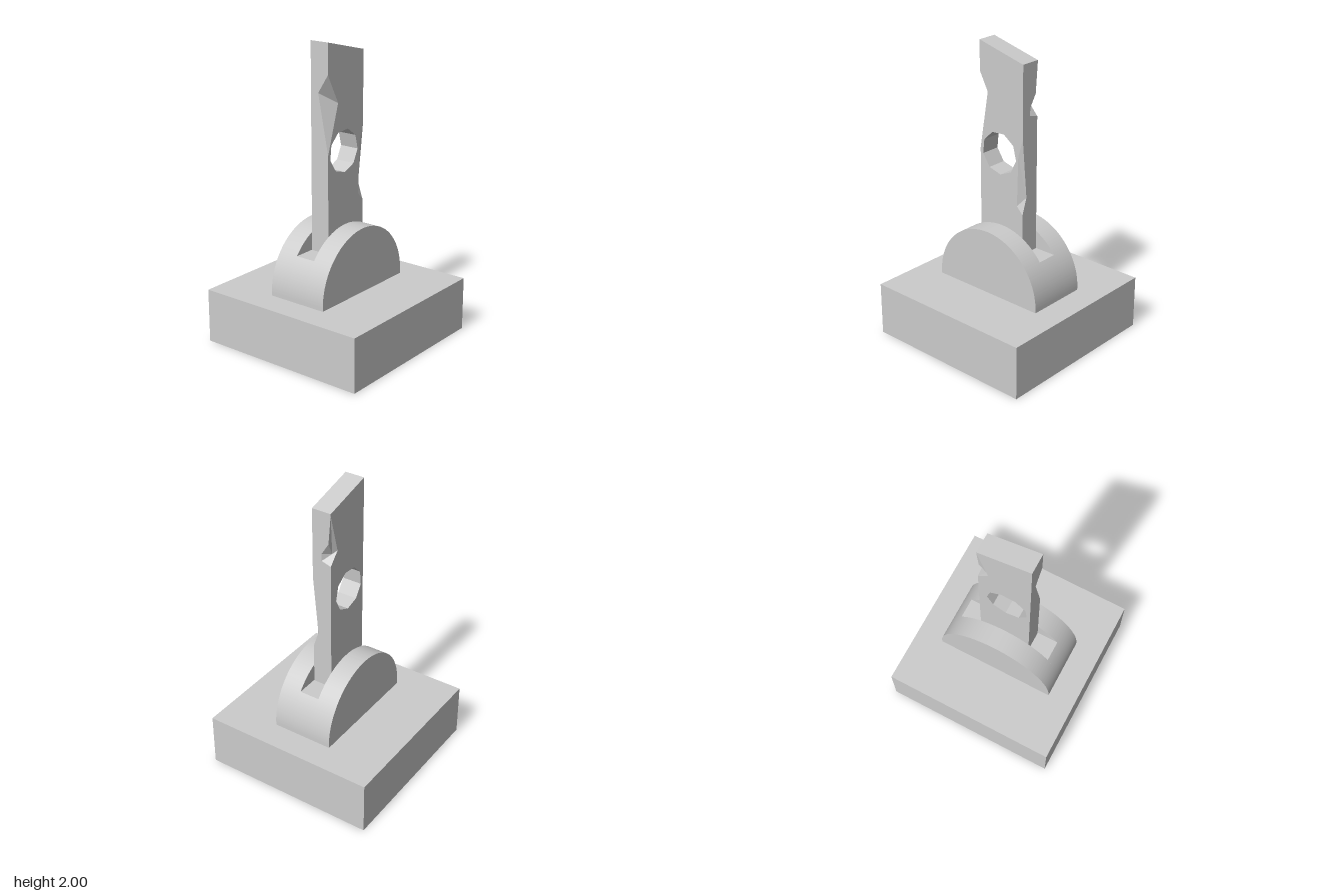
import * as THREE from 'three';
import { mergeGeometries, toCreasedNormals } from 'three/addons/utils/BufferGeometryUtils.js';

const grey = new THREE.MeshStandardMaterial({ color: 0xcccccc, side: THREE.DoubleSide });

function part(name, geometry) {
  const mesh = new THREE.Mesh(geometry, grey);
  mesh.name = name;
  return mesh;
}

// Collects polygons, turning every triangle towards the given outward direction.
function polygonBuilder() {
  const positions = [];
  const add = (out, points, hole = []) => {
    // Project along the strongest axis of the outward direction.
    const size = out.map(Math.abs);
    const axis = size.indexOf(Math.max(...size));
    const [u, v] = [0, 1, 2].filter((i) => i !== axis);
    const flat = (p) => new THREE.Vector2(p[u], p[v]);
    const all = [...points, ...hole].map((p) => new THREE.Vector3(...p));
    const dir = new THREE.Vector3(...out);
    const holes = hole.length ? [hole.map(flat)] : [];
    for (const [i, j, k] of THREE.ShapeUtils.triangulateShape(points.map(flat), holes)) {
      const a = all[i], b = all[j], c = all[k];
      const normal = b.clone().sub(a).cross(c.clone().sub(a));
      const tri = normal.dot(dir) < 0 ? [a, c, b] : [a, b, c];
      tri.forEach((p) => positions.push(p.x, p.y, p.z));
    }
  };
  const build = () => {
    const geometry = new THREE.BufferGeometry();
    geometry.setAttribute('position', new THREE.Float32BufferAttribute(positions, 3));
    geometry.computeVertexNormals();
    return geometry;
  };
  return { add, build };
}

// Hollow plinth: four walls and a top, open underneath.
function createPlinth() {
  const w = 0.6, h = 0.363;
  const top = new THREE.PlaneGeometry(2 * w, 2 * w).rotateX(-Math.PI / 2).translate(0, h, 0);
  const walls = [0, 1, 2, 3].map((i) =>
    new THREE.PlaneGeometry(2 * w, h).translate(0, h / 2, w).rotateY((i * Math.PI) / 2));
  return part('plinth', mergeGeometries([top, ...walls]));
}

// Half-round mount: two full cheeks and a flat-topped core that leaves the slot.
function createMount() {
  const r = 0.415, cy = 0.385, foot = 0.355, slotFloor = 0.64, slotZ = 0.07, outerZ = 0.21;
  const profile = (cut) => {
    const shape = new THREE.Shape();
    shape.moveTo(-r, foot);
    shape.lineTo(r, foot);
    shape.lineTo(r, cy);
    shape.absarc(0, cy, r, 0, cut, false);
    shape.absarc(0, cy, r, Math.PI - cut, Math.PI, false);
    shape.closePath();
    return shape;
  };
  const slab = (cut, z0, z1) => toCreasedNormals(new THREE.ExtrudeGeometry(profile(cut),
    { depth: z1 - z0, bevelEnabled: false, curveSegments: 40 }).translate(0, 0, z0), 0.5);

  const group = new THREE.Group();
  group.name = 'mount';
  group.add(
    part('frontCheek', slab(Math.PI / 2, slotZ, outerZ)),
    part('backCheek', slab(Math.PI / 2, -outerZ, -slotZ)),
    part('slotCore', slab(Math.asin((slotFloor - cy) / r), -slotZ, slotZ)),
  );
  return group;
}

// Upright blade with a slanted top, a nine-sided hole and three chipped corners.
function createBlade() {
  const L = -0.18, R = 0.177, F = 0.067, B = -0.067, y0 = 0.64, yL = 2, yR = 1.91;
  const { add, build } = polygonBuilder();

  const ring = (z) => Array.from({ length: 9 }, (_, i) => {
    const a = ((40 * i - 6) * Math.PI) / 180;
    return [-0.02 + 0.142 * Math.cos(a), 1.29 + 0.142 * Math.sin(a), z];
  });
  const holeF = ring(F), holeB = ring(B);

  // Front left chip: edge ends, point on the front, point on the side
  const a1 = [L, 1.8, F], a2 = [-0.08, 1.61, F], a3 = [L, 1.29, F], a4 = [L, 1.68, -0.01];
  // Front right chip, long and shallow
  const b1 = [R, 1.43, F], b2 = [0.14, 1.31, F], b3 = [0.13, 0.97, F], b4 = [R, 0.92, F];
  const b5 = [R, 1.03, 0.03], b6 = [R, 1.31, 0.035];
  // Back right chip, with an inner corner
  const c1 = [R, 1.9, B], c2 = [0.105, 1.63, B], c3 = [R, 1.55, B];
  const c4 = [R, 1.57, 0], c5 = [R, 1.62, 0], c6 = [R, 1.7, -0.05], c7 = [0.13, 1.61, -0.045];

  // Flat faces
  add([0, 0, 1], [[L, y0, F], [R, y0, F], b4, b3, b2, b1, [R, yR, F], [L, yL, F], a1, a2, a3], holeF);
  add([0, 0, -1], [[L, y0, B], [R, y0, B], c3, c2, c1, [R, yR, B], [L, yL, B]], holeB);
  add([-1, 0, 0], [[L, y0, F], a3, a4, a1, [L, yL, F], [L, yL, B], [L, y0, B]]);
  add([1, 0, 0], [[R, y0, F], b4, b5, b6, b1, [R, yR, F], [R, yR, B], c1, c6, c5, c4, c3, [R, y0, B]]);
  add([0, 1, 0], [[L, yL, F], [R, yR, F], [R, yR, B], [L, yL, B]]);
  add([0, -1, 0], [[L, y0, F], [R, y0, F], [R, y0, B], [L, y0, B]]);

  // Chip facets
  add([-0.5, -0.6, 0.6], [a1, a2, a4]);
  add([-0.6, 0.2, 0.7], [a4, a2, a3]);
  add([1, 0, 0.9], [b1, b2, b3, b5, b6]);
  add([0.5, 0.8, 0.6], [b3, b4, b5]);
  add([0.6, -0.1, -0.7], [c1, c6, c7]);
  add([0.8, -0.1, -0.6], [c1, c7, c2]);
  add([0.6, -0.1, -0.8], [c6, c5, c7]);
  add([0.6, 0, -0.8], [c5, c4, c7]);
  add([0.5, 0.8, -0.6], [c4, c3, c7]);
  add([0.5, 0.8, -0.4], [c3, c2, c7]);

  // Hole wall, facing the hole's axis
  holeF.forEach((p, i) => {
    const j = (i + 1) % holeF.length;
    const inward = [-0.04 - p[0] - holeF[j][0], 2.58 - p[1] - holeF[j][1], 0];
    add(inward, [p, holeF[j], holeB[j], holeB[i]]);
  });
  return part('blade', build());
}

export function createModel() {
  const model = new THREE.Group();
  model.name = 'bladeOnStand';
  model.add(createPlinth(), createMount(), createBlade());
  return model;
}
